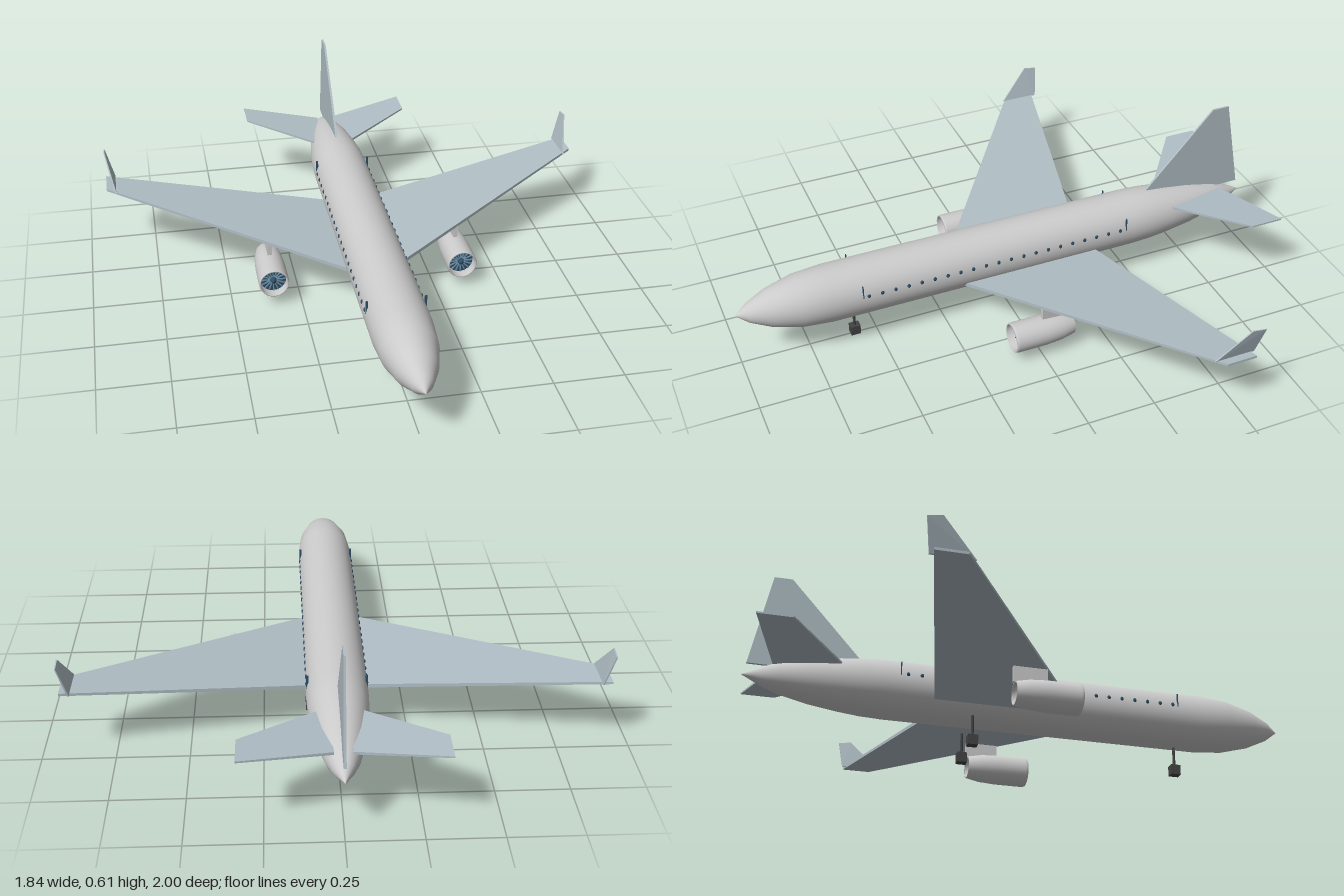
import * as THREE from 'three';
import { ConvexGeometry } from 'three/addons/geometries/ConvexGeometry.js';

const paint = (color) => new THREE.MeshStandardMaterial({ color });
const grey = paint(0xcccccc);
const panel = paint(0xb0bec5);
const dark = paint(0x444444);
const glass = paint(0x2f4f66);
const blade = paint(0x6f94ad);

const AXIS_Y = 0.213; // height of the fuselage axis
const RADIUS = 0.105;

function add(parent, name, geometry, material, x = 0, y = 0, z = 0) {
  const mesh = new THREE.Mesh(geometry, material);
  mesh.name = name;
  mesh.position.set(x, y, z);
  parent.add(mesh);
  return mesh;
}

// Body of revolution along z from [radius, z] pairs
function turned(profile, segments) {
  const points = profile.map(([r, z]) => new THREE.Vector2(r, z));
  return new THREE.LatheGeometry(points, segments).rotateX(Math.PI / 2);
}

// Flat tapered slab: corners [x, y, z, thickness], thickened along one axis
function slab(corners, axis, side = 1) {
  const points = [];
  for (const [x, y, z, t] of corners) {
    for (const s of [-0.5, 0.5]) {
      const p = new THREE.Vector3(x * side, y, z);
      p[axis] += s * t;
      points.push(p);
    }
  }
  return new ConvexGeometry(points);
}

function makeEngine(side) {
  const engine = new THREE.Group();
  engine.name = side > 0 ? 'leftEngine' : 'rightEngine';
  engine.position.set(0.35 * side, 0.092, 0);
  // Hollow cowling with a narrowed nozzle
  add(engine, 'cowling', turned([
    [0, -0.09], [0.036, -0.09], [0.037, -0.12], [0.041, -0.12], [0.051, -0.07],
    [0.055, -0.01], [0.055, 0.1], [0.053, 0.108], [0.05, 0.11], [0.048, 0.106],
    [0.047, 0.07], [0, 0.07],
  ], 32), grey);
  add(engine, 'fanDisc', new THREE.CircleGeometry(0.047, 32), glass, 0, 0, 0.074);
  // Fan blades around the hub
  const bladeShape = new THREE.BoxGeometry(0.004, 0.036, 0.004).translate(0, 0.028, 0);
  for (let i = 0; i < 16; i++) {
    add(engine, 'fanBlade', bladeShape, blade, 0, 0, 0.077).rotation.z = (i * Math.PI) / 8;
  }
  add(engine, 'fanHub', turned([[0.013, 0.074], [0.009, 0.09], [0, 0.097]], 20), glass);
  // Pylon up to the wing
  add(engine, 'pylon', new THREE.BoxGeometry(0.016, 0.06, 0.12), grey, 0, 0.07, -0.065);
  return engine;
}

function makeGear(name, x, z) {
  const gear = new THREE.Group();
  gear.name = name;
  gear.position.set(x, 0, z);
  add(gear, 'strut', new THREE.CylinderGeometry(0.005, 0.005, 0.08, 12), dark, 0, 0.073, 0);
  add(gear, 'wheelBlock', new THREE.BoxGeometry(0.03, 0.037, 0.036), dark, 0, 0.0185, 0);
  return gear;
}

export function createModel() {
  const model = new THREE.Group();
  model.name = 'airliner';

  // Fuselage
  add(model, 'fuselage', turned([
    [0, -1], [0.034, -0.93], [0.056, -0.87], [0.08, -0.76], [0.094, -0.66],
    [0.102, -0.58], [RADIUS, -0.5], [RADIUS, 0.67], [0.096, 0.78], [0.07, 0.88],
    [0.035, 0.955], [0, 1],
  ], 48), grey, 0, AXIS_Y, 0);

  // Tail fin
  add(model, 'tailFin', slab([
    [0, 0.31, -0.585, 0.009], [0, 0.605, -0.85, 0.007],
    [0, 0.605, -0.915, 0.007], [0, 0.257, -0.985, 0.009], [0, 0.255, -0.64, 0.009],
  ], 'x'), panel);

  const windowShape = new THREE.SphereGeometry(0.008, 10, 8).scale(0.5, 1, 0.8);
  const windowX = Math.sqrt(RADIUS ** 2 - 0.022 ** 2);

  for (const side of [1, -1]) {
    const label = side > 0 ? 'left' : 'right';

    // Swept wing with an upturned tip
    add(model, label + 'Wing', slab([
      [0.07, 0.163, 0.197, 0.014], [0.92, 0.26, -0.409, 0.009],
      [0.92, 0.26, -0.517, 0.009], [0.07, 0.163, -0.333, 0.014],
    ], 'y', side), panel);
    add(model, label + 'Winglet', slab([
      [0.887, 0.258, -0.38, 0.006], [0.918, 0.378, -0.49, 0.004],
      [0.918, 0.37, -0.54, 0.004], [0.887, 0.258, -0.525, 0.006],
    ], 'x', side), panel);

    // Tailplane
    add(model, label + 'Tailplane', slab([
      [0.03, 0.255, -0.626, 0.01], [0.33, 0.287, -0.86, 0.006],
      [0.33, 0.287, -0.982, 0.006], [0.03, 0.255, -0.897, 0.01],
    ], 'y', side), panel);

    // Cabin windows and door seams
    for (let i = 0; i < 21; i++) {
      add(model, 'window', windowShape, glass, windowX * side, 0.235, 0.545 - i * 0.049);
    }
    for (const z of [0.565, -0.46]) {
      add(model, 'doorSeam', new THREE.BoxGeometry(0.008, 0.05, 0.003), glass, 0.1 * side, 0.255, z);
    }

    model.add(makeEngine(side));
    model.add(makeGear(label + 'MainGear', 0.085 * side, -0.2));
  }
  model.add(makeGear('noseGear', 0, 0.58));
  return model;
}
